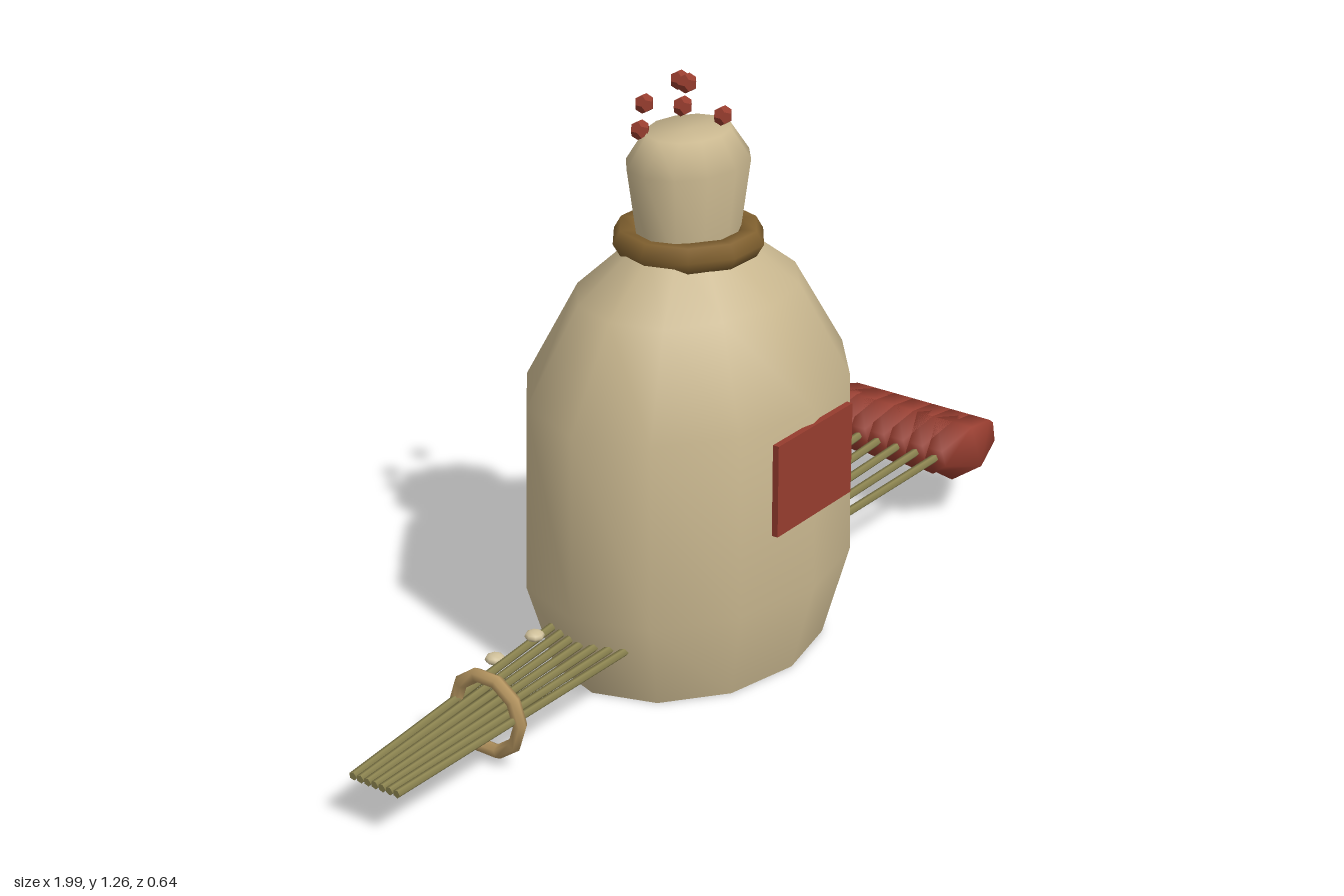
import * as THREE from 'three';

const mat = (name, color, extra = {}) => {
  const m = new THREE.MeshStandardMaterial({ color, ...extra });
  m.name = name;
  return m;
};
const V2 = (pts) => pts.map(([r, y]) => new THREE.Vector2(r, y));

export function createModel() {
  const cloth = mat('sackcloth', 0xc9b78f);
  const rope = mat('rope', 0x80602f);
  const red = mat('red', 0x963c2e);
  const straw = mat('stem olive', 0x8c8450);
  const twine = mat('twine', 0xb4945f);
  const seed = mat('seed', 0xcfc09a);
  red.flatShading = false;

  const model = new THREE.Group();
  const add = (name, geo, material, x = 0, y = 0, z = 0, parent = model) => {
    const m = new THREE.Mesh(geo, material);
    m.name = name;
    m.position.set(x, y, z);
    parent.add(m);
    return m;
  };
  const group = (name) => {
    const g = new THREE.Group();
    g.name = name;
    model.add(g);
    return g;
  };

  // Sack body, oval in plan, with a doubled point for the sharp base edge
  const body = add('sackBody', new THREE.LatheGeometry(V2([
    [0, 0], [0.335, 0], [0.335, 0], [0.4, 0.2], [0.39, 0.6], [0.265, 0.8], [0.13, 0.9],
  ]), 12), cloth);
  body.scale.z = 0.8;

  // Gathered neck above the tie
  const neck = add('sackNeck', new THREE.LatheGeometry(V2([
    [0.118, 0.88], [0.147, 1.068], [0.1, 1.132], [0, 1.132],
  ]), 12), cloth);
  neck.scale.z = 0.8;

  // Rope tie
  const tie = add('neckRope', new THREE.TorusGeometry(0.129, 0.031, 6, 10), rope, 0, 0.903, 0);
  tie.rotation.x = Math.PI / 2;

  // Cloth patch on the front
  add('patch', new THREE.BoxGeometry(0.265, 0.2, 0.014), red, -0.002, 0.47, 0.313);

  // Bundle of stems fanning out under the sack, each with a five-sided flower head
  const stems = group('stems');
  const heads = group('flowerHeads');
  const headGeo = new THREE.LatheGeometry(V2([
    [0, 0], [0.03, 0], [0.08, 0.078], [0.043, 0.195], [0, 0.255],
  ]), 5, Math.PI / 2);
  headGeo.rotateZ(-Math.PI / 2);
  const up = new THREE.Vector3(0, 1, 0);
  for (let i = -3; i <= 3; i++) {
    const a = new THREE.Vector3(-1, 0.104, i * 0.0182);
    const b = new THREE.Vector3(0.76, 0.174, i * 0.0522);
    const dir = b.clone().sub(a);
    const mid = a.clone().add(b).multiplyScalar(0.5);
    const stem = add('stem', new THREE.CylinderGeometry(0.01, 0.009, dir.length(), 5),
      straw, mid.x, mid.y, mid.z, stems);
    stem.quaternion.setFromUnitVectors(up, dir.normalize());
    add('flowerHead', headGeo, red, 0.735, 0.17, i * 0.0522, heads);
  }

  // Twine ring around the stem ends
  const ring = add('twineRing', new THREE.TorusGeometry(0.082, 0.015, 6, 10), twine, -0.667, 0.105, 0);
  ring.rotation.y = Math.PI / 2;

  // Flat seeds lying by the stems
  const seeds = group('seeds');
  const seedGeo = new THREE.SphereGeometry(0.021, 8, 6).scale(1, 0.55, 1);
  for (const [x, y, z] of [[-0.505, 0.118, -0.115], [-0.42, 0.145, -0.08], [0.42, 0.217, 0.08]]) {
    add('looseSeed', seedGeo, seed, x, y, z, seeds);
  }

  // Red grains popping from the neck
  const grains = group('grains');
  const grainGeo = new THREE.DodecahedronGeometry(0.021);
  for (const [x, y, z] of [
    [-0.094, 1.215, 0.055], [-0.027, 1.237, 0.017], [-0.032, 1.176, -0.086],
    [0.048, 1.156, 0.05], [0.084, 1.196, -0.084], [-0.073, 1.136, -0.066],
  ]) add('grain', grainGeo, red, x, y, z, grains);

  return model;
}
